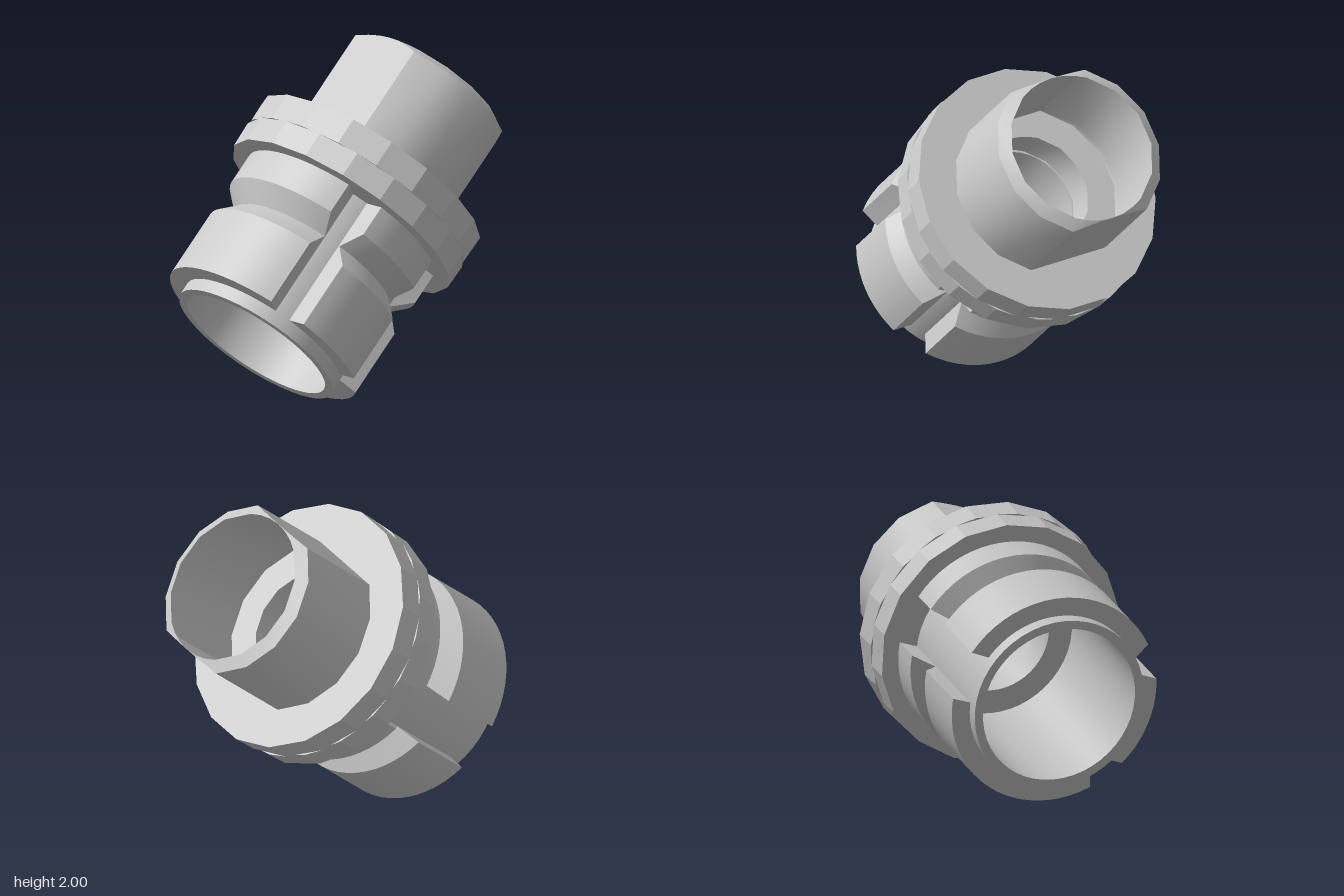
import * as THREE from 'three';
import { toCreasedNormals } from 'three/addons/utils/BufferGeometryUtils.js';

const material = new THREE.MeshStandardMaterial({ color: 0xcccccc, side: THREE.DoubleSide });
const { degToRad, lerp } = THREE.MathUtils;

// Skin a grid: each row is a cross-section of [angle, radius, height] points round the local y axis.
function loft(name, rows, crease = 0.3) {
  const positions = [], index = [], n = rows[0].length;
  rows.flat().forEach(([a, r, t]) => positions.push(r * Math.cos(a), t, r * Math.sin(a)));
  for (let i = 0; i < rows.length - 1; i++) {
    for (let j = 0; j < n - 1; j++) {
      const a = i * n + j, b = a + n;
      index.push(a, b, a + 1, a + 1, b, b + 1);
    }
  }
  const geometry = new THREE.BufferGeometry();
  geometry.setAttribute('position', new THREE.Float32BufferAttribute(positions, 3));
  geometry.setIndex(index);
  const mesh = new THREE.Mesh(toCreasedNormals(geometry, crease), material);
  mesh.name = name;
  return mesh;
}

// Full turn of a profile of [height, radius, twist in steps]
function turned(name, profile, sides) {
  const step = (Math.PI * 2) / sides;
  return loft(name, profile.map(([t, r, twist = 0]) =>
    Array.from({ length: sides + 1 }, (_, j) => [(j + 0.5 + twist) * step, r, t])));
}

const CORE = 0.51;
const OUTER = 0.619;
const collarProfile = [[-0.793, CORE], [-0.793, OUTER], [-0.38, OUTER], [-0.27, 0.516], [-0.16, OUTER], [0.03, OUTER]];

// Part-turn of the grooved collar between two angles, with side walls dropping to the core
function collarSector(name, [startOuter, startCore], [endOuter, endCore], segments) {
  const rows = collarProfile.map(([t, r]) => {
    const k = (r - CORE) / (OUTER - CORE);
    const start = lerp(startCore, startOuter, k), end = lerp(endCore, endOuter, k);
    const row = [[degToRad(startCore), CORE, t]];
    for (let j = 0; j <= segments; j++) row.push([degToRad(lerp(start, end, j / segments)), r, t]);
    row.push([degToRad(endCore), CORE, t]);
    return row;
  });
  return loft(name, rows);
}

// Round socket with two opposite flats
const FLAT = 0.438;
const halfTurn = [-29.8, -20, -10, 0, 10, 20, 29.8, 54, 78, 102, 126];
const socketAngles = [...halfTurn, ...halfTurn.map((a) => a + 180), 330.2].map(degToRad);
const socketRadius = (a) => Math.min(0.505, FLAT / Math.abs(Math.cos(a)));
const ring = (radius, height) => socketAngles.map((a) => [a, radius(a), height(radius(a))]);

function socket() {
  return loft('socket', [
    ring(() => 0.55, () => 0.343),
    ring(socketRadius, () => 0.343),
    ring(socketRadius, (r) => 0.976 - (r - FLAT) * 0.62),
    ring(() => FLAT, () => 0.976),
  ], 0.5);
}

// Shelf inside the socket and the hole below it
function bore() {
  return loft('bore', [
    ring(socketRadius, () => 0.343),
    ring(socketRadius, () => 0.303),
    ring(() => 0.333, () => 0.303),
    ring(() => 0.333, () => 0.1),
  ], 0.5);
}

export function createModel() {
  const fitting = new THREE.Group();
  fitting.name = 'fitting';

  fitting.add(socket(), bore());

  // Faceted flange in two bands, offset by half a facet
  fitting.add(turned('flange', [
    [0.03, CORE, 0.5], [0.03, 0.722, 0.5], [0.18, 0.726, 0.5], [0.18, 0.726], [0.343, 0.73], [0.343, 0.52],
  ], 18));

  // Thin inner sleeve, showing at the bottom rim and in the slots
  fitting.add(turned('sleeve', [[0.1, 0.32], [0.1, 0.46], [-0.87, 0.46], [-0.87, CORE], [0.03, CORE]], 48));

  // Grooved collar halves, split by a narrow slot at the back, and the front key between them
  fitting.add(collarSector('leftCollar', [-76.5, -74], [43.7, 48.2], 20));
  fitting.add(collarSector('rightCollar', [136.3, 131.8], [256.5, 254], 20));
  fitting.add(collarSector('frontKey', [64.6, 58.7], [115.4, 121.3], 10));

  // Lean the fitting over by 45 degrees
  fitting.rotation.z = -Math.PI / 4;
  fitting.position.y = 1;

  const model = new THREE.Group();
  model.name = 'pipeFitting';
  model.add(fitting);
  return model;
}
